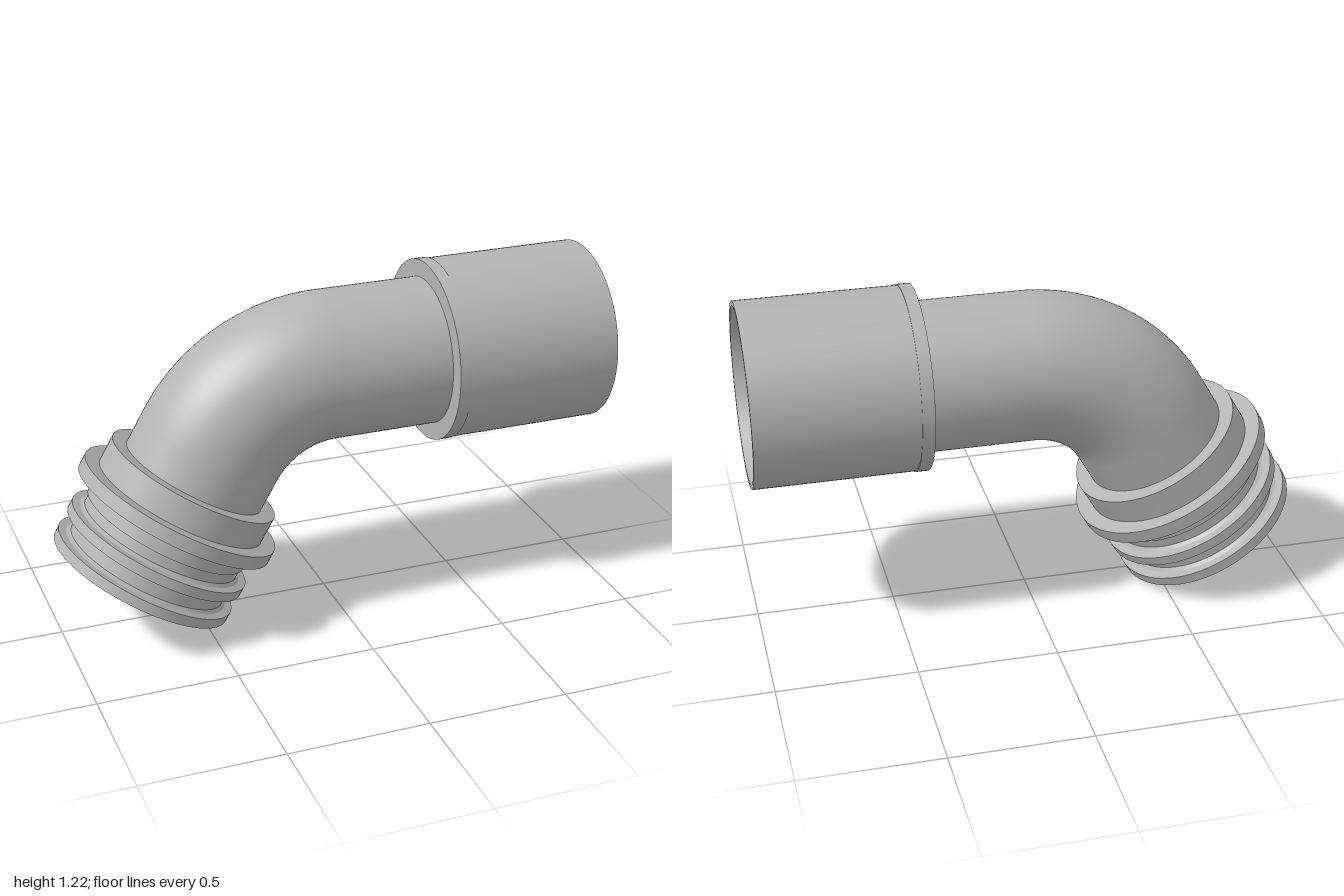
import * as THREE from 'three';
import { toCreasedNormals } from 'three/addons/utils/BufferGeometryUtils.js';

const AXIS_Y = 0.893;        // height of the horizontal pipe axis
const BEND_R = 0.493;        // bend radius of the centre line
const PIPE_R = 0.267;
const BORE_R = 0.225;
const BEND = Math.PI / 3;    // elbow turns 60 degrees
const LEG = 0.546;           // straight length below the bend

export function createModel() {
  const group = new THREE.Group();
  const grey = new THREE.MeshStandardMaterial({ color: 0xb4b4b4, side: THREE.DoubleSide });
  grey.name = 'grey plastic';

  const add = (name, geometry, x, y, angle) => {
    const mesh = new THREE.Mesh(geometry, grey);
    mesh.name = name;
    mesh.position.set(x, y, 0);
    mesh.rotation.z = angle;
    group.add(mesh);
  };

  // Turned part from [radius, distance along axis] pairs
  const turned = (profile) => toCreasedNormals(
    new THREE.LatheGeometry(profile.map(([r, s]) => new THREE.Vector2(r, s)), 96), 0.3);

  // Horizontal pipe with the wide sleeve and recessed inner tube at its mouth
  add('socketPipe', turned([
    [PIPE_R, 0], [PIPE_R, 0.385], [0.33, 0.385], [0.33, 0.43], [0.327, 0.43],
    [0.327, 1], [0.31, 1], [0.295, 0.9], [0.265, 0.9], [0.255, 0.95],
    [BORE_R, 0.95], [BORE_R, 0],
  ]), 0, AXIS_Y, -Math.PI / 2);

  // Elbow: outer skin and bore
  for (const [name, r] of [['elbow', PIPE_R], ['elbowBore', BORE_R]]) {
    add(name, new THREE.TorusGeometry(BEND_R, r, 96, 40, BEND), 0, AXIS_Y - BEND_R, Math.PI / 2);
  }

  // Slanted leg with collar, stop ring and two sealing ribs
  const legX = -BEND_R * Math.sin(BEND) - LEG * Math.cos(BEND);
  const legY = AXIS_Y - BEND_R * (1 - Math.cos(BEND)) - LEG * Math.sin(BEND);
  add('ribbedSpigot', turned([
    [0.28, 0.03], [0.3, 0], [0.345, 0], [0.345, 0.038], [0.315, 0.04], [0.302, 0.05],
    [0.302, 0.11], [0.345, 0.11], [0.345, 0.148], [0.315, 0.15], [0.302, 0.16],
    [0.302, 0.2], [0.31, 0.2], [0.31, 0.266], [0.378, 0.266], [0.378, 0.317],
    [0.322, 0.317], [0.322, 0.42], [PIPE_R, 0.42], [PIPE_R, LEG],
    [BORE_R, LEG], [BORE_R, 0.46], [0.28, 0.38], [0.28, 0.03],
  ]), legX, legY, BEND - Math.PI / 2);

  return group;
}
